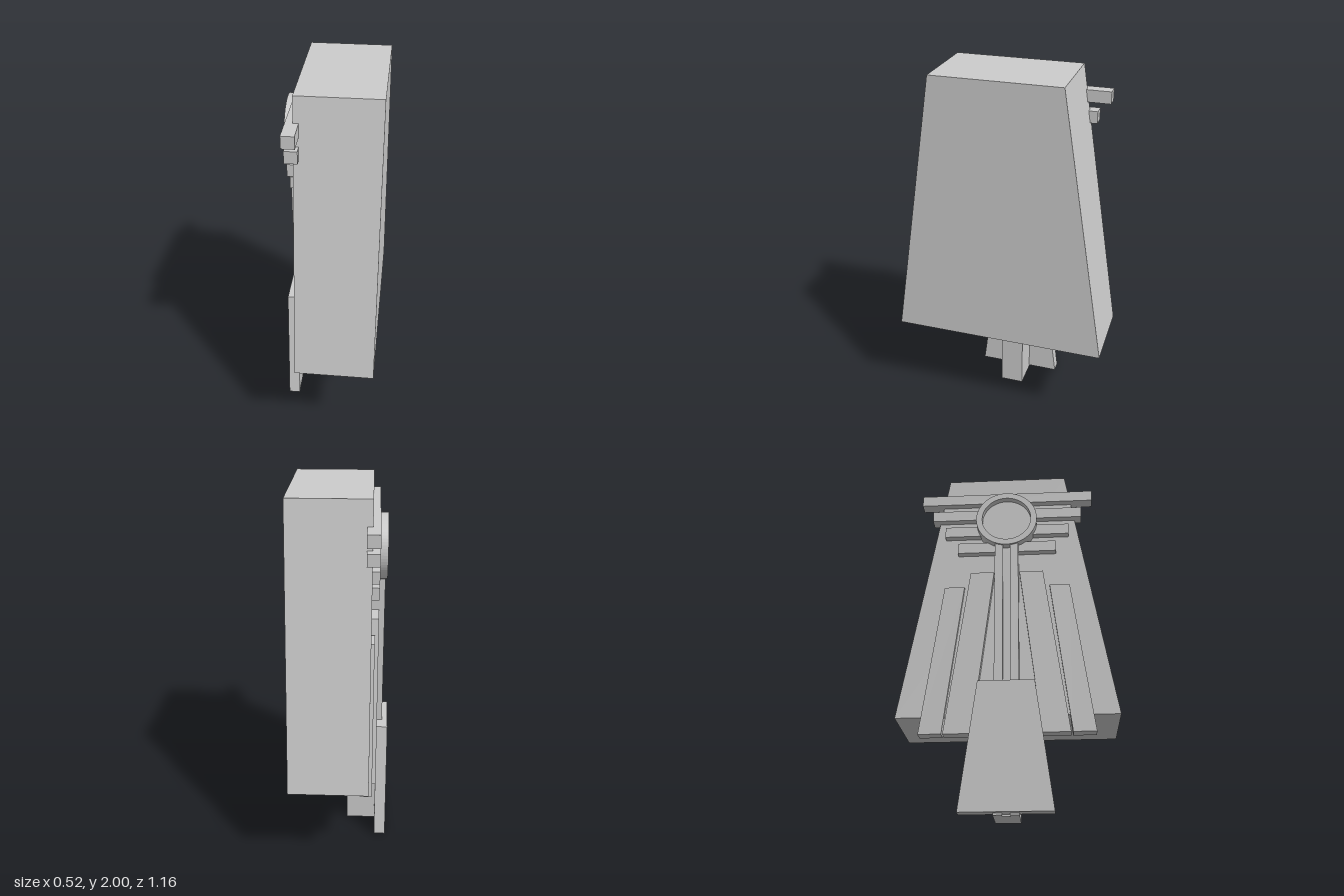
import * as THREE from 'three';

const material = new THREE.MeshStandardMaterial({ color: 0xcccccc });

function add(parent, name, geometry) {
  const mesh = new THREE.Mesh(geometry, material);
  mesh.name = name;
  parent.add(mesh);
}

// Flat shape drawn in (z, y), extruded in x from x0 to x1
function extrudeX(shape, x0, x1, curveSegments = 12) {
  const g = new THREE.ExtrudeGeometry(shape, { depth: x1 - x0, bevelEnabled: false, curveSegments });
  return g.rotateY(-Math.PI / 2).translate(x1, 0, 0);
}

// Four-sided slab: z range at the bottom, z range at the top
function slab(x0, x1, y0, y1, [b0, b1], [t0, t1]) {
  const shape = new THREE.Shape([[b0, y0], [b1, y0], [t1, y1], [t0, y1]].map(p => new THREE.Vector2(...p)));
  return extrudeX(shape, x0, x1);
}

export function createModel() {
  const model = new THREE.Group();

  // Tapered main block
  add(model, 'body', slab(-0.163, 0.257, 0.52, 2, [-0.582, 0.582], [-0.338, 0.338]));

  // Stacked horizontal bars, shorter towards the bottom
  [[1.81, 0.49], [1.70, 0.425], [1.59, 0.35], [1.48, 0.275]].forEach(([y, h], i) => {
    add(model, `crossBar${i + 1}`, slab(-0.2, -0.135, y, y + 0.064, [-h, h], [-h, h]));
  });

  // Round ring with a recessed disc
  const ring = new THREE.Group();
  ring.name = 'ringOrnament';
  ring.position.y = 1.678;
  const outline = new THREE.Shape().absarc(0, 0, 0.172, 0, Math.PI * 2);
  outline.holes.push(new THREE.Path().absarc(0, 0, 0.138, 0, Math.PI * 2, true));
  add(ring, 'ring', extrudeX(outline, -0.24, -0.163, 32));
  add(ring, 'ringDisc', new THREE.CylinderGeometry(0.14, 0.14, 0.042, 48).rotateZ(Math.PI / 2).translate(-0.184, 0, 0));
  model.add(ring);

  // Central post with two raised ribs and a groove between them
  add(model, 'post', slab(-0.2, -0.035, 0, 1.52, [-0.065, 0.065], [-0.065, 0.065]));

  // Mirrored ribs and leaning slats
  for (const s of [-1, 1]) {
    const span = (a, b) => (s > 0 ? [a, b] : [-b, -a]);
    const side = s > 0 ? 'left' : 'right';
    add(model, `${side}Rib`, slab(-0.23, -0.2, 0, 1.52, span(0.02, 0.065), span(0.02, 0.065)));
    add(model, `${side}InnerSlat`, slab(-0.2, -0.135, 0.418, 1.35, span(0.18, 0.325), span(0.07, 0.2)));
    add(model, `${side}OuterSlat`, slab(-0.18, -0.115, 0.425, 1.272, span(0.335, 0.455), span(0.235, 0.345)));
  }

  // Tapered panel in front of the post
  add(model, 'footPanel', slab(-0.26, -0.198, 0.01, 0.68, [-0.234, 0.234], [-0.147, 0.147]));

  return model;
}
